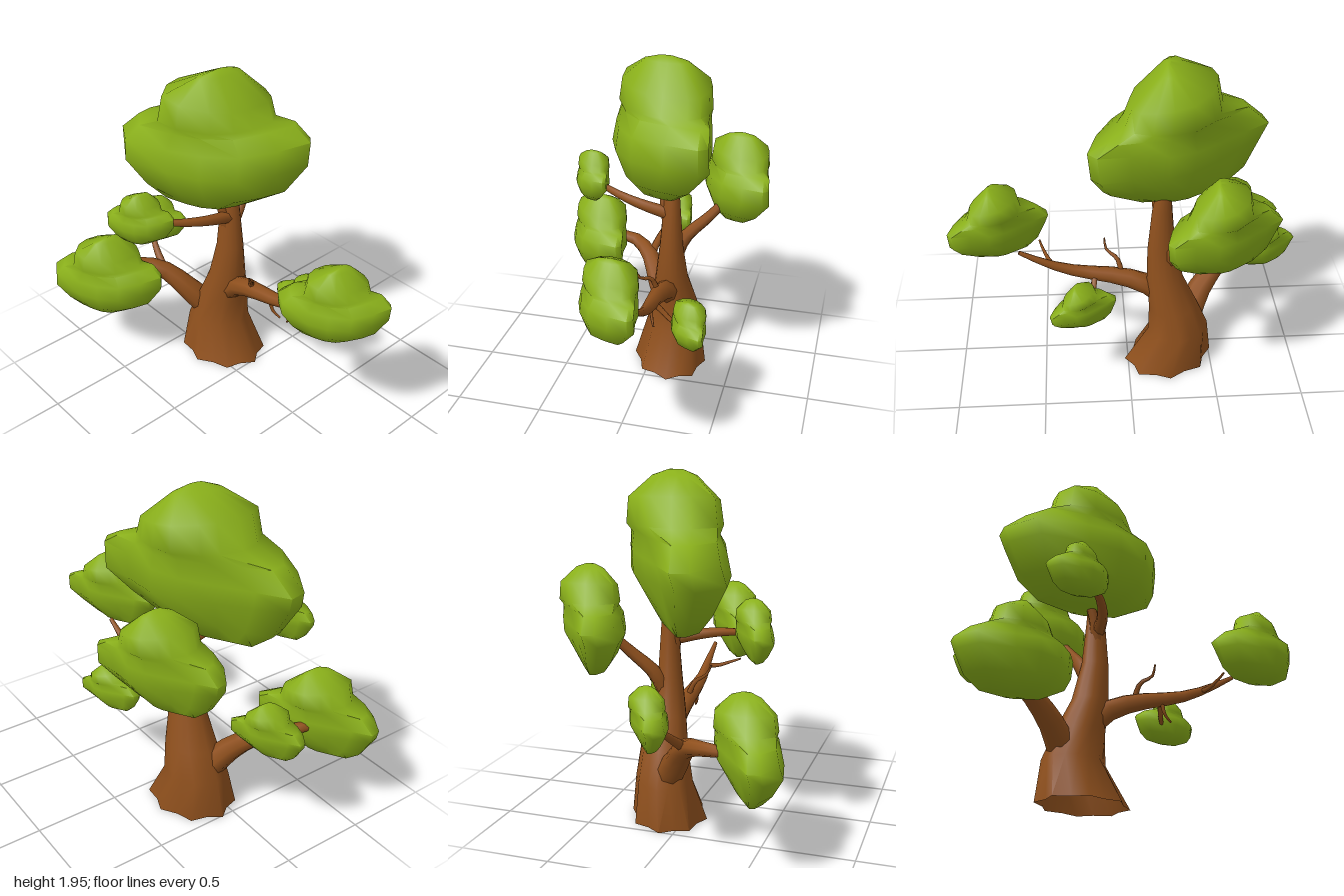
import * as THREE from 'three';
import { toCreasedNormals } from 'three/addons/utils/BufferGeometryUtils.js';

// Plan outlines [x, z] within -1..1: the slanted body and the rounder top lobe
const BODY = [[-1, 0.41], [-0.96, 0.69], [-0.62, 1], [-0.03, 0.83], [0.37, 0.63], [0.72, 0.27], [0.9, -0.3],
  [1, -0.86], [0.9, -1], [0.56, -0.9], [0.17, -0.86], [-0.13, -0.66], [-0.43, -0.3], [-0.72, 0.07]];
const LOBE = [[-1, 0.25], [-0.91, 0.62], [-0.57, 1], [-0.02, 0.96], [0.6, 0.62], [0.87, 0.25], [1, -0.13],
  [1, -0.66], [0.83, -0.89], [0.49, -1], [0.11, -1], [-0.32, -0.89], [-0.74, -0.51], [-0.91, -0.21]];

// Foliage levels from the bottom up: [outline, y, rise toward +x, x, z, half width, half depth]
const LEVELS = [
  [BODY, 1.14, 0.02, -0.3, -0.01, 0.25, 0.15],
  [BODY, 1.25, 0.03, -0.265, -0.02, 0.405, 0.25],
  [BODY, 1.41, 0.02, -0.275, -0.035, 0.48, 0.36],
  [BODY, 1.535, 0.045, -0.285, -0.045, 0.505, 0.345],
  [BODY, 1.625, 0.02, -0.28, -0.06, 0.385, 0.315],
  [LOBE, 1.67, 0, -0.245, -0.06, 0.27, 0.28],
  [LOBE, 1.8, -0.03, -0.245, -0.065, 0.235, 0.265],
  [LOBE, 1.92, 0, -0.225, -0.07, 0.06, 0.13],
  [LOBE, 1.95, 0, -0.21, -0.07, 0.01, 0.04],
];

// Lofted clump, one unit wide, centred in x and z, standing on y = 0
function clumpGeometry() {
  const pos = [], index = [], n = BODY.length, last = (LEVELS.length - 1) * n;
  for (const [outline, y, rise, cx, cz, w, d] of LEVELS) {
    for (const [x, z] of outline) {
      pos.push((cx + x * w + 0.285) / 1.01, (y + rise * x - 1.12) / 1.01, (cz + z * d + 0.045) / 1.01);
    }
  }
  for (let i = 0; i < last; i += n) {
    for (let j = 0; j < n; j++) {
      const a = i + j, b = i + (j + 1) % n;
      index.push(a, b, a + n, b, b + n, a + n);
    }
  }
  for (let j = 1; j < n - 1; j++) index.push(0, j + 1, j, last, last + j, last + j + 1);
  const g = new THREE.BufferGeometry();
  g.setAttribute('position', new THREE.Float32BufferAttribute(pos, 3));
  g.setIndex(index);
  return toCreasedNormals(g, 1.2);
}

// Tapered tube through points, from radius r0 to r1
function limbGeometry(points, r0, r1, sides) {
  const curve = new THREE.CatmullRomCurve3(points.map((p) => new THREE.Vector3(...p)));
  const steps = 8;
  const g = new THREE.TubeGeometry(curve, steps, 1, sides, false);
  const p = g.attributes.position, v = new THREE.Vector3();
  for (let i = 0; i < p.count; i++) {
    const t = Math.floor(i / (sides + 1)) / steps;
    const c = curve.getPointAt(t);
    v.fromBufferAttribute(p, i).sub(c).multiplyScalar(r0 + (r1 - r0) * t).add(c);
    p.setXYZ(i, v.x, v.y, v.z);
  }
  return g;
}

// Trunk rows from the top down: [y, centreX, centreZ, radiusX, radiusZ, ripple]
const TRUNK = [
  [1.25, -0.2, -0.12, 0.035, 0.035, 0],
  [1.08, -0.19, -0.12, 0.057, 0.05, 0],
  [0.82, -0.19, -0.12, 0.08, 0.07, 0],
  [0.6, -0.215, -0.12, 0.107, 0.1, 0],
  [0.42, -0.265, -0.13, 0.142, 0.14, 0.02],
  [0.24, -0.3, -0.12, 0.18, 0.17, 0.04],
  [0, -0.245, -0.11, 0.265, 0.225, 0.07],
];

function trunkGeometry() {
  const sides = 16;
  const g = new THREE.CylinderGeometry(1, 1, 1, sides, TRUNK.length - 1, true);
  const p = g.attributes.position;
  for (let i = 0; i < p.count; i++) {
    const [y, cx, cz, rx, rz, ripple] = TRUNK[Math.floor(i / (sides + 1))];
    const k = 1 - ripple * (1 - Math.cos(Math.PI * (i % (sides + 1))));
    const x = p.getX(i) * rx * k;
    p.setXYZ(i, cx + x, y, cz + p.getZ(i) * rz * k - 0.12 * x);
  }
  return toCreasedNormals(g, 1.2);
}

export function createModel() {
  const tree = new THREE.Group();
  tree.name = 'tree';
  const bark = new THREE.MeshStandardMaterial({ color: 0x8f501d });
  bark.name = 'bark brown';
  bark.side = THREE.DoubleSide;
  const leaf = new THREE.MeshStandardMaterial({ color: 0x8ab01a });
  leaf.name = 'leaf green';

  const add = (name, geometry, material) => {
    const mesh = new THREE.Mesh(geometry, material);
    mesh.name = name;
    tree.add(mesh);
    return mesh;
  };

  add('trunk', trunkGeometry(), bark);

  // Branches and twigs: name, start radius, end radius, sides, path
  const limbs = [
    ['leftBranch', 0.07, 0.012, 8, [[-0.2, 0.48, -0.11], [-0.1, 0.56, -0.11], [0.05, 0.61, -0.1],
      [0.3, 0.66, -0.1], [0.45, 0.72, -0.11], [0.62, 0.81, -0.11]]],
    ['leftUpperTwig', 0.02, 0.005, 5, [[0.03, 0.61, -0.1], [0.06, 0.71, -0.06], [0.12, 0.74, -0.01], [0.13, 0.8, 0.02]]],
    ['leftLowerTwig', 0.02, 0.008, 5, [[0.19, 0.64, -0.1], [0.2, 0.58, -0.17], [0.22, 0.54, -0.23], [0.26, 0.55, -0.32]]],
    ['leftHangingTwig', 0.014, 0.006, 5, [[0.19, 0.62, -0.09], [0.21, 0.55, -0.1], [0.25, 0.51, -0.12]]],
    ['leftFrontTwig', 0.016, 0.006, 5, [[0.43, 0.71, -0.11], [0.46, 0.71, -0.04], [0.49, 0.73, 0.03], [0.51, 0.75, 0.09]]],
    ['rightBranch', 0.085, 0.025, 8, [[-0.36, 0.28, -0.08], [-0.44, 0.41, 0.01], [-0.56, 0.53, 0.1],
      [-0.67, 0.58, 0.22], [-0.72, 0.59, 0.4]]],
    ['rightSideBranch', 0.03, 0.012, 6, [[-0.56, 0.53, 0.1], [-0.7, 0.63, 0.06], [-0.82, 0.73, 0]]],
    ['backBranch', 0.05, 0.024, 7, [[-0.21, 0.68, -0.12], [-0.26, 0.83, -0.18], [-0.31, 0.97, -0.32], [-0.36, 1.08, -0.42]]],
    ['frontBranch', 0.04, 0.014, 7, [[-0.18, 1.02, -0.12], [-0.18, 1.06, 0.05], [-0.22, 1.09, 0.2], [-0.32, 1.12, 0.38]]],
    ['crownBranch', 0.04, 0.02, 7, [[-0.19, 0.96, -0.1], [-0.21, 1.1, -0.07], [-0.27, 1.25, -0.05]]],
  ];
  for (const [name, r0, r1, sides, path] of limbs) add(name, limbGeometry(path, r0, r1, sides), bark);

  // Foliage clumps: name, x, base y, z, width, height factor, turn, lean
  const clump = clumpGeometry();
  const clumps = [
    ['crownFoliage', -0.285, 1.12, -0.045, 1.01, 1, 0, 0],
    ['leftFoliage', 0.725, 0.74, -0.01, 0.55, 1, 0, 0],
    ['rightFrontFoliage', -0.685, 0.37, 0.465, 0.635, 1, 0, 0],
    ['rightBackFoliage', -0.49, 0.91, -0.455, 0.64, 1.05, 0, 0],
    ['frontSmallFoliage', -0.37, 0.99, 0.41, 0.365, 1.06, 0, 0],
    ['rightSmallFoliage', -0.805, 0.61, -0.015, 0.37, 1.02, 0, 0],
    ['leftBackFoliage', 0.245, 0.45, -0.33, 0.36, 0.95, -0.1, -0.12],
  ];
  for (const [name, x, y, z, size, tall, turn, lean] of clumps) {
    const mesh = add(name, clump, leaf);
    mesh.position.set(x, y, z);
    mesh.scale.set(size, size * tall, size);
    mesh.rotation.set(0, turn, lean);
  }
  return tree;
}
